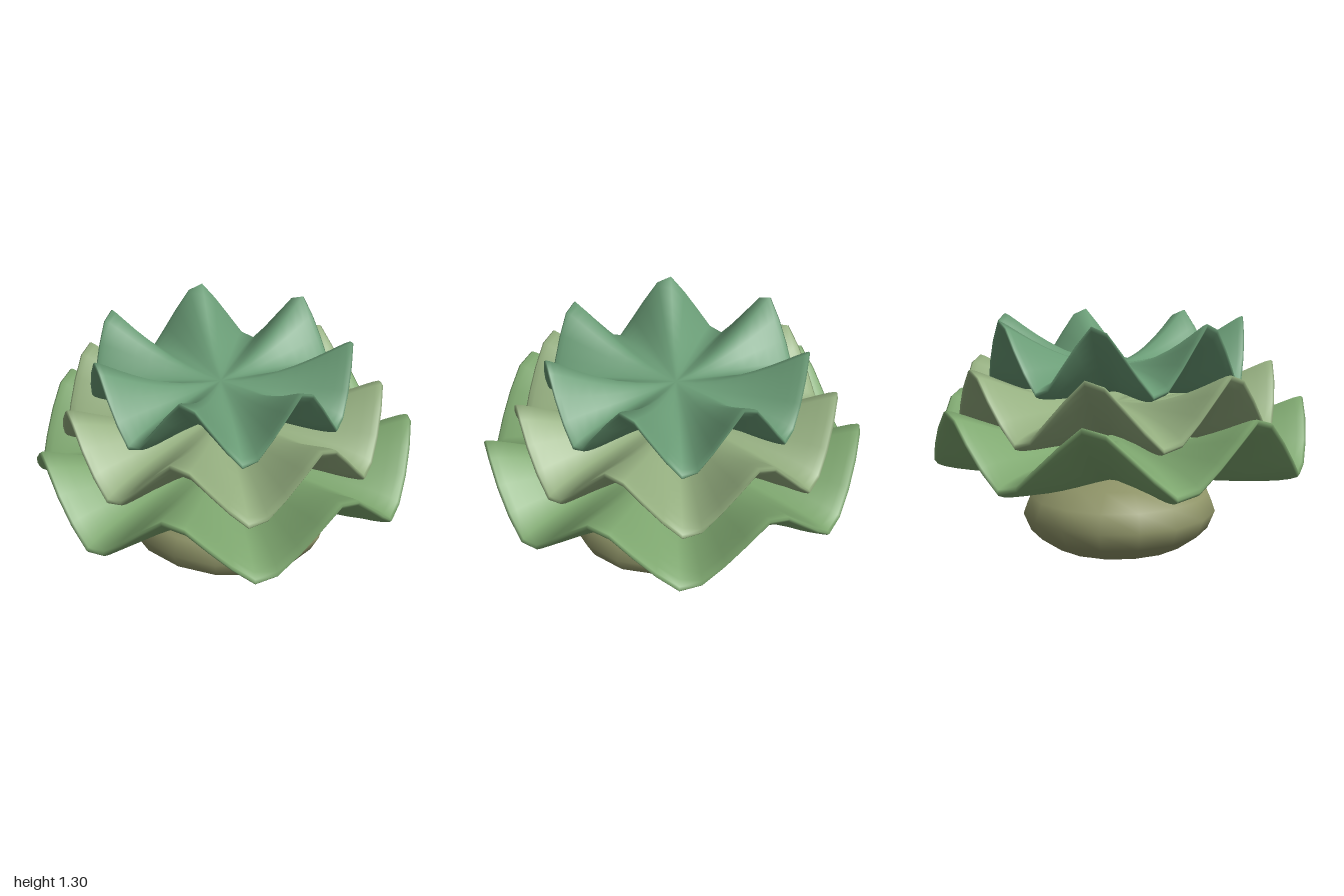
import * as THREE from 'three';
import { mergeVertices } from 'three/addons/utils/BufferGeometryUtils.js';

const PETALS = 7;
const SEGMENTS = PETALS * 8;

// A flattened lens whose radial folds deepen towards the thin rim
function ruffledLayer(name, color, { radius, centre, valley, peak, halfThickness }) {
  const profile = [];
  const steps = 20;
  for (let i = 0; i <= steps; i++) {
    const a = (i / steps - 0.5) * Math.PI;
    profile.push(new THREE.Vector2(Math.abs(radius * Math.cos(a)), halfThickness * Math.sin(a)));
  }

  let geometry = new THREE.LatheGeometry(profile, SEGMENTS);
  const pos = geometry.attributes.position;
  const mean = (valley + peak) / 2 - centre;
  const amplitude = (peak - valley) / 2;
  for (let i = 0; i < pos.count; i++) {
    const x = pos.getX(i), z = pos.getZ(i);
    const t = Math.hypot(x, z) / radius;
    const angle = Math.atan2(z, x) + 0.035;
    // Nearly straight zigzag with slightly blunted tips
    const fold = -Math.asin(0.95 * Math.cos(PETALS * angle)) / Math.asin(0.95);
    const rise = Math.pow(t, 2);
    pos.setY(i, pos.getY(i) + centre + rise * (mean + amplitude * fold));
  }
  // Weld the lathe seam so the shading runs smoothly round
  geometry.deleteAttribute('uv');
  geometry.deleteAttribute('normal');
  geometry = mergeVertices(geometry, 1e-4);
  geometry.computeVertexNormals();

  const mesh = new THREE.Mesh(geometry, new THREE.MeshStandardMaterial({ color }));
  mesh.name = name;
  return mesh;
}

export function createModel() {
  const model = new THREE.Group();
  model.name = 'layeredPlant';

  // Flattened oval base
  const base = new THREE.Mesh(
    new THREE.SphereGeometry(1, 16, 8),
    new THREE.MeshStandardMaterial({ color: 0x8f9468 })
  );
  base.name = 'base';
  base.scale.set(0.6, 0.25, 0.525);
  base.position.y = 0.25;
  model.add(base);

  // Three ruffled leaf layers, widest at the bottom
  const lower = ruffledLayer('lowerLeaves', 0x7fa870,
    { radius: 1.0, centre: 0.53, valley: 0.505, peak: 0.865, halfThickness: 0.095 });
  const middle = ruffledLayer('middleLeaves', 0x95af80,
    { radius: 0.845, centre: 0.755, valley: 0.705, peak: 1.065, halfThickness: 0.085 });
  const upper = ruffledLayer('upperLeaves', 0x6a9c76,
    { radius: 0.68, centre: 0.975, valley: 0.94, peak: 1.305, halfThickness: 0.075 });
  middle.position.set(-0.015, 0, -0.015);
  upper.position.set(-0.02, 0, -0.015);
  model.add(lower, middle, upper);

  return model;
}
